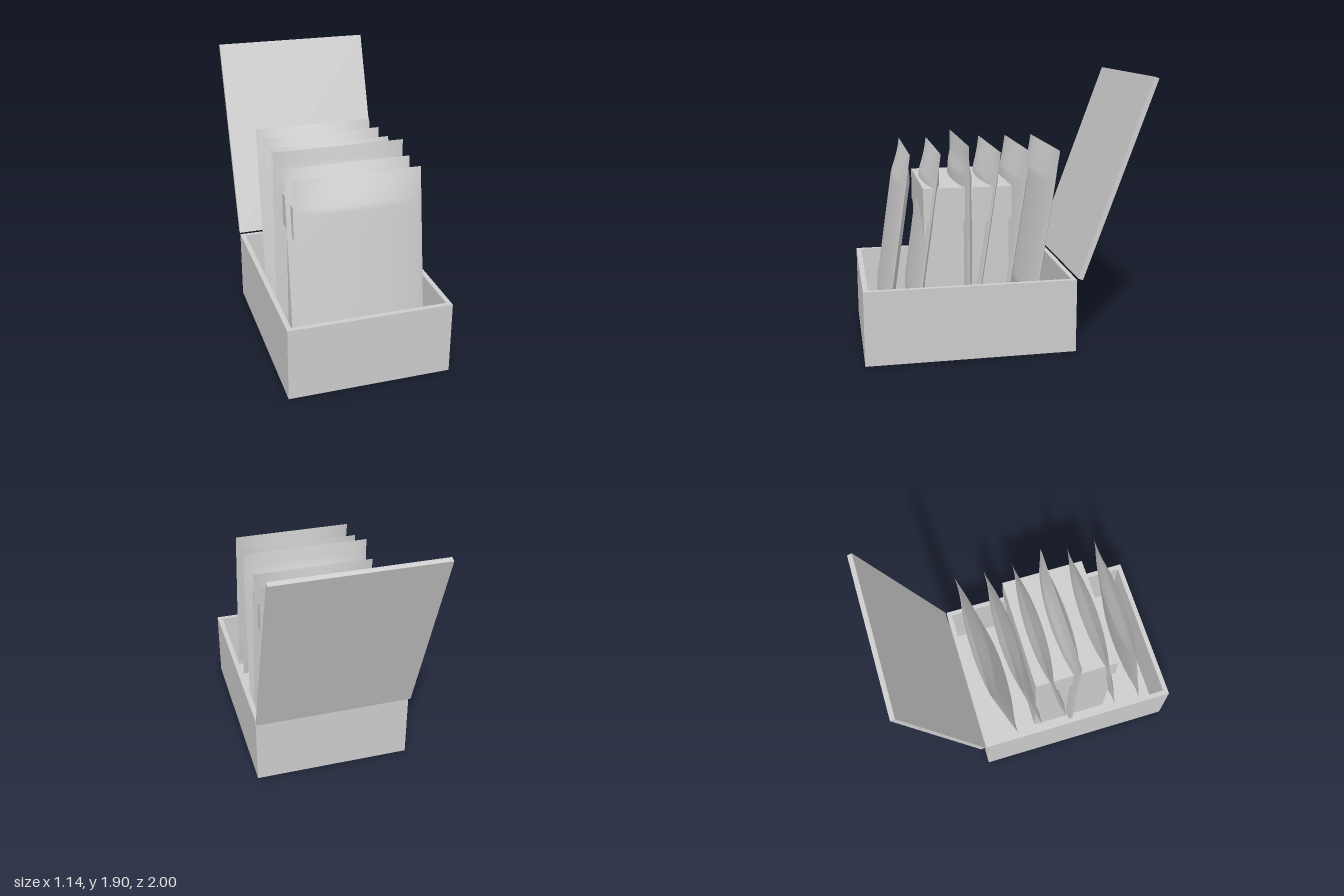
import * as THREE from 'three';
import { mergeGeometries } from 'three/addons/utils/BufferGeometryUtils.js';

const grey = new THREE.MeshStandardMaterial({ color: 0xcccccc });
grey.name = 'plain grey';

function addBox(parent, name, size, position) {
  const mesh = new THREE.Mesh(new THREE.BoxGeometry(...size), grey);
  mesh.name = name;
  mesh.position.set(...position);
  parent.add(mesh);
  return mesh;
}

// Pillow-shaped pouch: profile lists [height, half thickness] from bottom to top
function pouchGeometry(halfWidth, profile) {
  const columns = 32;
  const face = new THREE.PlaneGeometry(1, 1, columns, profile.length - 1);
  const position = face.attributes.position;
  for (let i = 0; i < position.count; i++) {
    const row = profile.length - 1 - Math.floor(i / (columns + 1));
    const u = Math.sin((((i % (columns + 1)) / columns) - 0.5) * Math.PI);
    const [y, thickness] = profile[row];
    const bulge = Math.pow(Math.max(0, 1 - u * u), 0.8);
    position.setXYZ(i, u * halfWidth, y, thickness * bulge);
  }
  face.computeVertexNormals();
  return mergeGeometries([face, face.clone().rotateY(Math.PI)]);
}

export function createModel() {
  const model = new THREE.Group();
  model.name = 'openBoxOfPouches';

  // Open box: floor and four walls
  const box = new THREE.Group();
  box.name = 'box';
  model.add(box);
  const outline = new THREE.Shape([[-0.57, -1], [0.57, -1], [0.57, 0.46], [-0.57, 0.46]]
    .map(([x, y]) => new THREE.Vector2(x, y)));
  outline.holes.push(new THREE.Path([[-0.535, -0.965], [-0.535, 0.425], [0.535, 0.425], [0.535, -0.965]]
    .map(([x, y]) => new THREE.Vector2(x, y))));
  const walls = new THREE.Mesh(
    new THREE.ExtrudeGeometry(outline, { depth: 0.52, bevelEnabled: false }).rotateX(-Math.PI / 2), grey);
  walls.name = 'boxWalls';
  box.add(walls);
  addBox(box, 'boxFloor', [1.07, 0.035, 1.39], [0, 0.0175, 0.27]);

  // Lid tipped back from the rear rim
  const lid = addBox(model, 'lid', [1.14, 1.46, 0.035], [0, 1.208, -0.734]);
  lid.rotation.x = -THREE.MathUtils.degToRad(20);

  // Inner carton with an overhanging cap
  addBox(model, 'innerCarton', [0.77, 0.9, 0.585], [0, 0.485, 0.277]);
  addBox(model, 'innerCartonCap', [0.82, 0.23, 0.605], [0, 1.05, 0.272]);

  // Leaning pouches, sealed flat at both ends
  const leaning = pouchGeometry(0.44, [
    [-0.625, 0], [-0.52, 0.03], [-0.43, 0.056], [-0.39, 0.06], [-0.2, 0.06], [0, 0.06],
    [0.2, 0.06], [0.39, 0.06], [0.43, 0.056], [0.52, 0.03], [0.625, 0],
  ]);
  for (const tip of [0.66, 0.456, 0.05, -0.155, -0.36]) {
    const pouch = new THREE.Mesh(leaning, grey);
    pouch.name = 'leaningPouch';
    pouch.position.set(0, 0.782, tip + 0.093);
    pouch.rotation.x = -0.149;
    model.add(pouch);
  }

  // Larger upright pouch in the middle
  const upright = new THREE.Mesh(pouchGeometry(0.465, [
    [0, 0], [0.1, 0.022], [0.15, 0.04], [0.22, 0.064], [0.4, 0.072], [0.75, 0.072],
    [1.1, 0.07], [1.22, 0.064], [1.27, 0.052], [1.31, 0.03], [1.37, 0.018], [1.45, 0],
  ]), grey);
  upright.name = 'uprightPouch';
  upright.position.z = 0.27;
  model.add(upright);

  return model;
}
